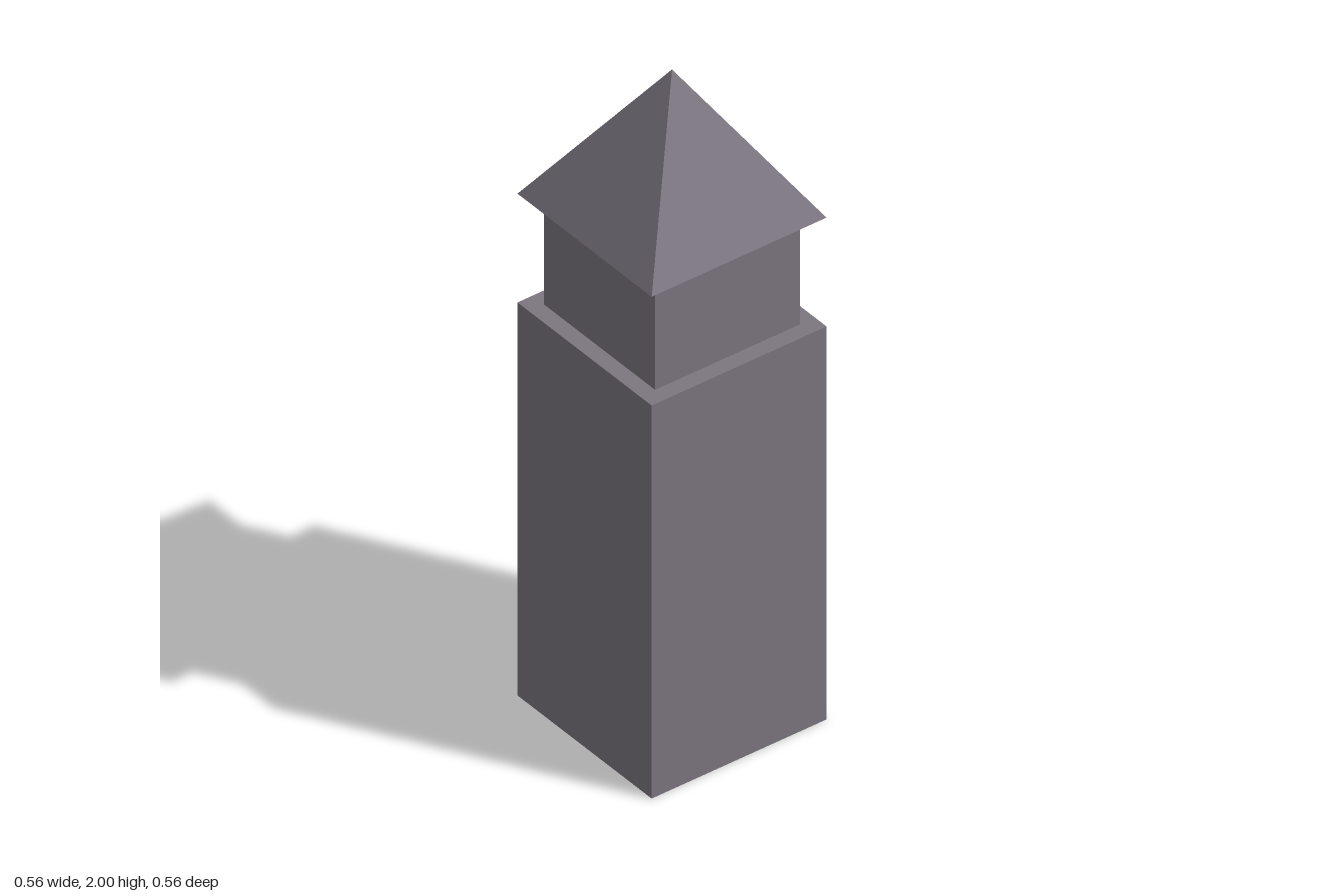
import * as THREE from 'three';

export function createModel() {
  const group = new THREE.Group();
  const stone = new THREE.MeshStandardMaterial({ color: 0x7c7680 });
  stone.name = 'greyStone';
  stone.flatShading = true;

  const add = (name, geometry, y) => {
    const mesh = new THREE.Mesh(geometry, stone);
    mesh.name = name;
    mesh.position.y = y;
    group.add(mesh);
  };

  // Square block standing on height y
  const block = (name, width, y, top) =>
    add(name, new THREE.BoxGeometry(width, top - y, width), (y + top) / 2);

  const width = 0.558, shaftTop = 1.232, eaves = 1.573, apex = 2;
  block('towerShaft', width, 0, shaftTop);
  block('upperStorey', 0.462, shaftTop, eaves);

  // Four-sided roof with corners above the shaft corners
  const roof = new THREE.ConeGeometry(width * Math.SQRT1_2, apex - eaves, 4, 1, false, Math.PI / 4);
  add('pyramidRoof', roof, (eaves + apex) / 2);

  return group;
}
